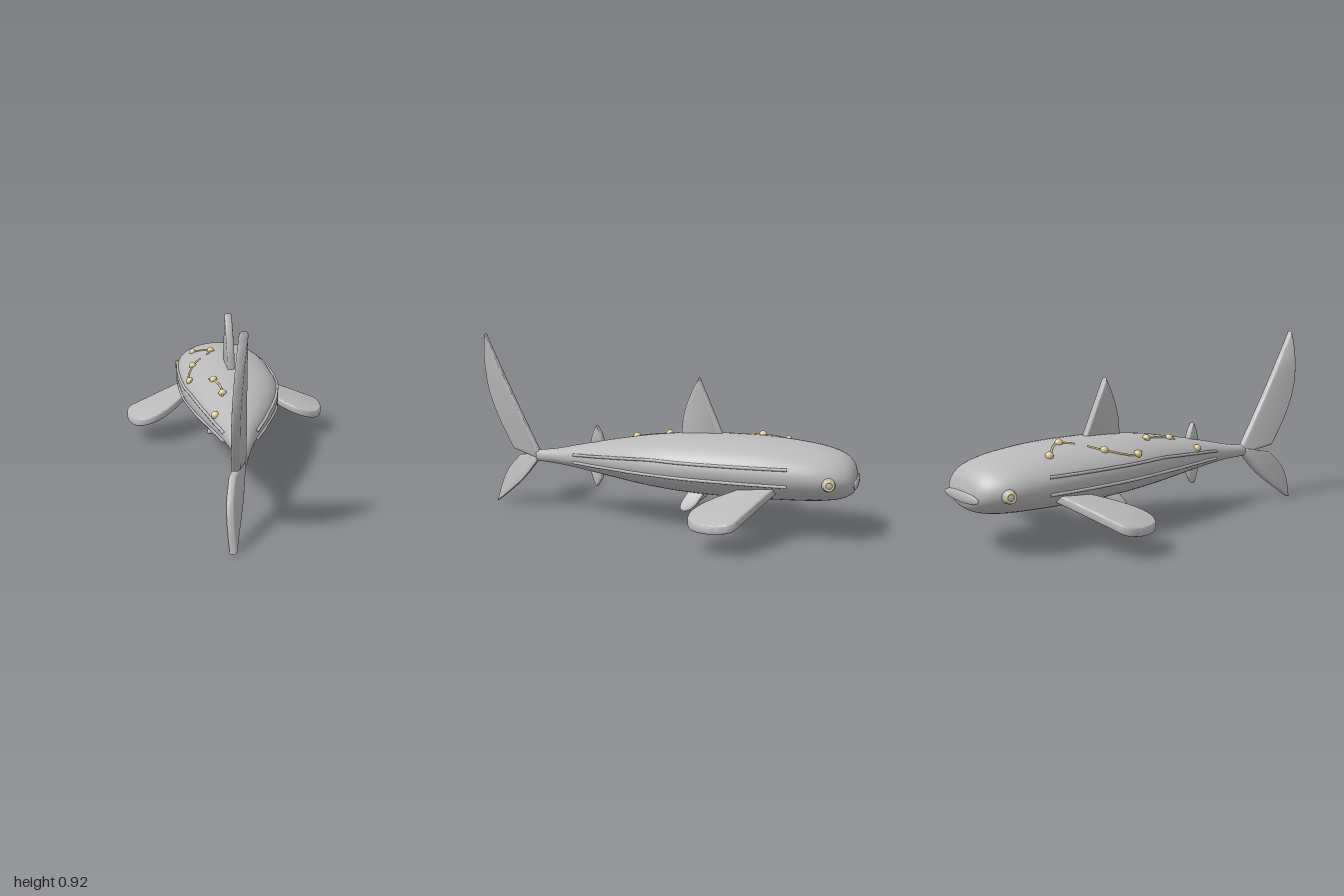
import * as THREE from 'three';
import { toCreasedNormals } from 'three/addons/utils/BufferGeometryUtils.js';

const skin = new THREE.MeshStandardMaterial({ color: 0xb9b9b9 });
skin.name = 'grey skin';
const gold = new THREE.MeshStandardMaterial({ color: 0xe0cd9a });
gold.name = 'pale gold';

// Body stations from snout to tail root: z, centre x, half width, top y, bottom y
const STATIONS = [
  [-0.99, 0, 0.08, 0.3, 0.235], [-0.975, 0, 0.135, 0.345, 0.21], [-0.94, 0, 0.18, 0.382, 0.188],
  [-0.88, 0, 0.216, 0.408, 0.174], [-0.78, 0, 0.241, 0.43, 0.165], [-0.6, 0, 0.257, 0.45, 0.16],
  [-0.4, 0, 0.259, 0.457, 0.16], [-0.2, 0, 0.248, 0.454, 0.167], [0, -0.005, 0.21, 0.435, 0.183],
  [0.2, -0.02, 0.15, 0.402, 0.208], [0.4, -0.04, 0.082, 0.362, 0.233], [0.54, -0.055, 0.045, 0.331, 0.248],
  [0.67, -0.07, 0.022, 0.312, 0.254],
];
const RINGS = 200, SIDES = 48;
const curve = (pick) => new THREE.CatmullRomCurve3(STATIONS.map(pick), false, 'catmullrom', 0.5);
const widths = curve((s) => new THREE.Vector3(s[0], s[1], s[2]));
const heights = curve((s) => new THREE.Vector3(s[0], s[3], s[4]));
const sections = Array.from({ length: RINGS + 1 }, (_, j) => {
  const a = widths.getPoint(j / RINGS), b = heights.getPoint(j / RINGS);
  return { z: a.x, cx: a.y, w: a.z, cy: (b.y + b.z) / 2, h: (b.y - b.z) / 2 };
});
const sectionAt = (z) => sections.reduce((p, q) => (Math.abs(q.z - z) < Math.abs(p.z - z) ? q : p));

// Height of the back above (x, z)
function backY(x, z) {
  const s = sectionAt(z);
  return s.cy + s.h * Math.sqrt(Math.max(0, 1 - ((x - s.cx) / s.w) ** 2));
}
// Flank x at (y, z) on one side
function flankX(y, z, side) {
  const s = sectionAt(z);
  return s.cx + side * s.w * Math.sqrt(Math.max(0, 1 - ((y - s.cy) / s.h) ** 2));
}

function bodyGeometry() {
  const pos = [], index = [];
  for (const s of sections) {
    for (let i = 0; i < SIDES; i++) {
      const a = (i / SIDES) * Math.PI * 2;
      pos.push(s.cx + s.w * Math.cos(a), s.cy + s.h * Math.sin(a), s.z);
    }
  }
  for (let j = 0; j < RINGS; j++) {
    for (let i = 0; i < SIDES; i++) {
      const k = (i + 1) % SIDES, a = j * SIDES, b = a + SIDES;
      index.push(a + i, a + k, b + i, a + k, b + k, b + i);
    }
  }
  // Snout and tail caps
  const first = sections[0], last = sections[RINGS], end = RINGS * SIDES, n = pos.length / 3;
  pos.push(first.cx, first.cy, first.z - 0.004, last.cx, last.cy, last.z + 0.005);
  for (let i = 0; i < SIDES; i++) {
    const k = (i + 1) % SIDES;
    index.push(n, k, i, n + 1, end + i, end + k);
  }
  const g = new THREE.BufferGeometry();
  g.setAttribute('position', new THREE.Float32BufferAttribute(pos, 3));
  g.setIndex(index);
  g.computeVertexNormals();
  return g;
}

// Bevelled plate: edges are runs of points joined by corners; place maps (u, v, w) to space
function finGeometry(edges, thickness, place) {
  const shape = new THREE.Shape();
  shape.moveTo(...edges[0][0]);
  edges.forEach((edge, i) => {
    const pts = i === 0 ? edge.slice(1) : edge;
    shape.splineThru(pts.map((p) => new THREE.Vector2(...p)));
  });
  const bevel = 0.009;
  const g = new THREE.ExtrudeGeometry(shape, {
    depth: thickness - 2 * bevel, curveSegments: 5, bevelEnabled: true,
    bevelThickness: bevel, bevelSize: bevel, bevelOffset: -bevel, bevelSegments: 3,
  });
  g.translate(0, 0, bevel - thickness / 2);
  const p = g.attributes.position;
  for (let i = 0; i < p.count; i++) p.setXYZ(i, ...place(p.getX(i), p.getY(i), p.getZ(i)));
  return toCreasedNormals(g, 0.7);
}

export function createModel() {
  const model = new THREE.Group();
  const add = (name, geometry, material = skin) => {
    const mesh = new THREE.Mesh(geometry, material);
    mesh.name = name;
    model.add(mesh);
    return mesh;
  };
  // Upright fin drawn in (z, y), with x given along the fin
  const uprightFin = (name, edges, thickness, xAt) =>
    add(name, finGeometry(edges, thickness, (z, y, w) => [xAt(z, y) - w, y, z]));

  add('body', bodyGeometry());

  // Lips
  const lips = add('mouth', new THREE.SphereGeometry(1, 32, 16));
  lips.scale.set(0.15, 0.026, 0.012);
  lips.position.set(0, 0.262, -0.988);

  // Fins on the midline
  uprightFin('dorsalFin', [
    [[-0.36, 0.43], [-0.29, 0.59], [-0.23, 0.725]],
    [[-0.19, 0.645], [-0.155, 0.54], [-0.145, 0.43]],
    [[-0.36, 0.43]],
  ], 0.038, (z, y) => -0.006 - (y - 0.45) * 0.02);
  uprightFin('rearDorsalFin', [
    [[0.275, 0.36], [0.29, 0.42], [0.317, 0.463]],
    [[0.338, 0.42], [0.355, 0.35]],
    [[0.275, 0.36]],
  ], 0.036, () => -0.04);
  uprightFin('analFin', [
    [[0.275, 0.24], [0.29, 0.185], [0.317, 0.145]],
    [[0.338, 0.185], [0.355, 0.245]],
    [[0.275, 0.24]],
  ], 0.036, () => -0.04);

  // Tail lobes, swept and twisted to the side
  uprightFin('upperTailLobe', [
    [[0.645, 0.29], [0.82, 0.605], [0.985, 0.922]],
    [[1.0, 0.8], [0.985, 0.63], [0.925, 0.47], [0.83, 0.305]],
    [[0.65, 0.265]],
    [[0.645, 0.29]],
  ], 0.036, (z, y) => -0.07 - 0.32 * (z - 0.66) + 0.095 * (y - 0.29));
  uprightFin('lowerTailLobe', [
    [[0.645, 0.28], [0.75, 0.16], [0.85, 0.075], [0.952, 0]],
    [[0.925, 0.1], [0.88, 0.19], [0.8, 0.27]],
    [[0.67, 0.295]],
    [[0.645, 0.28]],
  ], 0.034, (z, y) => -0.07 - 0.45 * (z - 0.66) + 0.19 * (0.27 - y));

  for (const side of [1, -1]) {
    const name = side > 0 ? 'left' : 'right';

    // Pectoral fin, drawn in (x, -z), sloping down to the tip and the trailing edge
    const flip = (edge) => edge.map(([x, z]) => [side * x, -z]);
    add(name + 'PectoralFin', finGeometry([
      flip([[0.18, -0.66], [0.3, -0.61], [0.52, -0.525]]),
      flip([[0.54, -0.49], [0.537, -0.41], [0.5, -0.33], [0.44, -0.298], [0.37, -0.31], [0.29, -0.375], [0.18, -0.52]]),
      flip([[0.18, -0.66]]),
    ], 0.042, (x, v, w) => [x, 0.217 - 0.275 * (Math.abs(x) - 0.2) + 0.12 * (v - 0.45) + w, -v]));

    // Pelvic fin
    uprightFin(name + 'PelvicFin', [
      [[-0.3, 0.2], [-0.245, 0.115], [-0.2, 0.088], [-0.17, 0.1], [-0.18, 0.14], [-0.22, 0.2]],
      [[-0.3, 0.2]],
    ], 0.034, (z, y) => side * (0.078 + (0.175 - y) * 0.4));

    // Two flank ridges
    for (const [label, y0, y1, y2] of [['Upper', 0.342, 0.346, 0.314], ['Lower', 0.264, 0.274, 0.274]]) {
      const pts = [];
      for (let i = 0; i <= 16; i++) {
        const t = i / 16, z = -0.7 + 1.12 * t;
        const y = t < 0.6 ? THREE.MathUtils.lerp(y0, y1, t / 0.6) : THREE.MathUtils.lerp(y1, y2, (t - 0.6) / 0.4);
        pts.push(new THREE.Vector3(flankX(y, z, side) + side * 0.003, y, z));
      }
      add(name + label + 'Ridge', new THREE.TubeGeometry(new THREE.CatmullRomCurve3(pts), 64, 0.0075, 8));
    }

    // Eye: grey ball with a gold ring
    const eyeX = side * 0.213;
    add(name + 'Eye', new THREE.SphereGeometry(0.031, 20, 14)).position.set(eyeX, 0.28, -0.88);
    const ring = add(name + 'EyeRing', new THREE.TorusGeometry(0.019, 0.007, 10, 24), gold);
    ring.position.set(eyeX + side * 0.022, 0.28, -0.885);
    ring.rotation.y = Math.PI / 2 + side * 0.25;
  }

  // Beads on the back
  const beads = [[-0.16, -0.645], [-0.07, -0.535], [-0.185, -0.365], [-0.217, -0.195],
    [-0.11, -0.053], [-0.085, 0.115], [-0.138, 0.26]]
    .map(([x, z]) => new THREE.Vector3(x, backY(x, z) + 0.003, z));
  beads.forEach((p, i) => add('bead' + (i + 1), new THREE.SphereGeometry(0.019, 16, 12), gold).position.copy(p));

  // Broken thread between the beads, each run given in bead steps
  const path = new THREE.CatmullRomCurve3(beads);
  for (const [from, to] of [[0, 1.4], [1.65, 3.2], [3.8, 5.22]]) {
    const pts = Array.from({ length: 13 }, (_, i) => {
      const p = path.getPoint((from + ((to - from) * i) / 12) / 6);
      return p.setY(backY(p.x, p.z) + 0.001);
    });
    add('beadThread', new THREE.TubeGeometry(new THREE.CatmullRomCurve3(pts), 48, 0.005, 8), gold);
  }

  return model;
}
